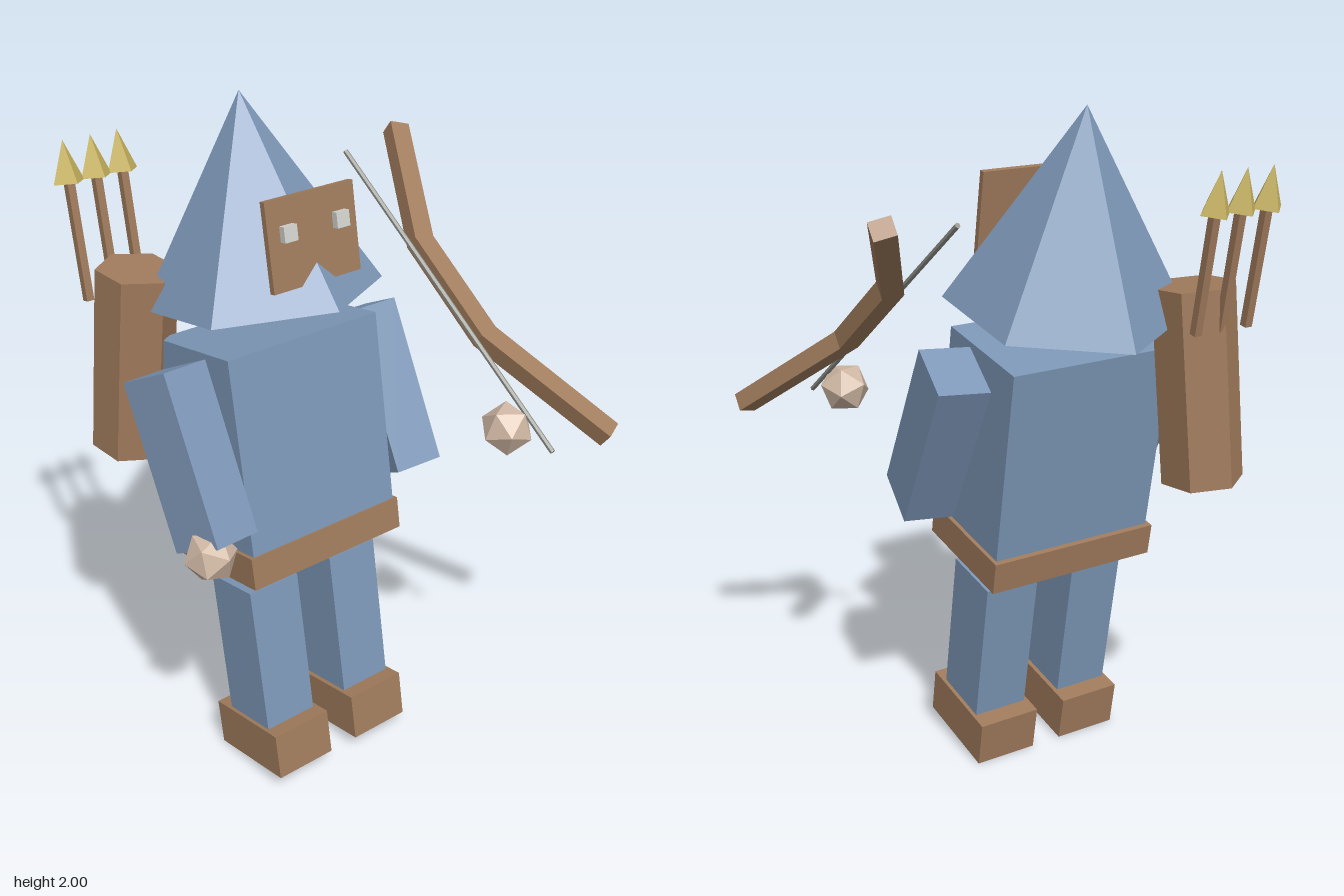
import * as THREE from 'three';

const mat = (name, color, flat = true) => {
  const m = new THREE.MeshStandardMaterial({ color });
  m.name = name;
  m.flatShading = flat;
  return m;
};

export function createModel() {
  const cloth = mat('blueCloth', 0x7d97b7);
  const leather = mat('brownLeather', 0xa07b5c);
  const skin = mat('paleSkin', 0xd0b8a4);
  const brass = mat('brassYellow', 0xc9b45f);
  const white = mat('eyeWhite', 0xd2d2ce);
  const cord = mat('greyCord', 0x92928c);

  const root = new THREE.Group();
  root.name = 'archer';

  // The whole figure leans back slightly
  const figure = new THREE.Group();
  figure.name = 'figure';
  figure.rotation.x = -0.157;
  root.add(figure);

  const add = (parent, name, geometry, material, x, y, z) => {
    const mesh = new THREE.Mesh(geometry, material);
    mesh.name = name;
    mesh.position.set(x, y, z);
    parent.add(mesh);
    return mesh;
  };
  const box = (w, h, d) => new THREE.BoxGeometry(w, h, d);
  const cx = -0.124; // middle of the body

  // Torso, belt and pointed hood
  add(figure, 'torso', box(0.518, 0.59, 0.344), cloth, cx, 1.058, 0.072);
  add(figure, 'belt', box(0.542, 0.097, 0.367), leather, cx, 0.723, 0.067);
  add(figure, 'hood', new THREE.ConeGeometry(0.342, 0.563, 6), cloth, cx, 1.731, 0.071);

  // Face plate with square eyes
  add(figure, 'face', box(0.294, 0.245, 0.018), leather, cx - 0.001, 1.6435, 0.328);

  for (const [side, label] of [[-1, 'right'], [1, 'left']]) {
    add(figure, label + 'Eye', box(0.043, 0.043, 0.02), white, cx + side * 0.0875, 1.674, 0.347);
    add(figure, label + 'Leg', box(0.172, 0.46, 0.192), cloth, cx + side * 0.148, 0.387, 0.065);
    add(figure, label + 'Boot', box(0.197, 0.144, 0.3), leather, cx + side * 0.147, 0.087, 0.062);
    const arm = add(figure, label + 'Arm', box(0.15, 0.496, 0.184), cloth, cx + side * 0.347, 1.077, 0.132);
    arm.rotation.set(-0.303, side * -0.155, 0);
  }

  // Faceted fists
  const fist = new THREE.IcosahedronGeometry(0.077, 0);
  add(root, 'rightHand', fist, skin, -0.522, 0.86, 0.115).rotation.set(0.3, 0.3, 0.2);
  add(root, 'leftHand', fist, skin, 0.29, 1.108, 0.42).rotation.set(-0.3, 0.4, 0.2);

  // Quiver and arrows on the back
  const quiver = add(figure, 'quiver', new THREE.CylinderGeometry(0.118, 0.118, 0.565, 6),
    leather, -0.41, 1.282, -0.202);
  quiver.rotation.set(0.244, 0.1, -0.05);
  for (const x of [-0.495, -0.408, -0.323]) {
    add(figure, 'arrowShaft', box(0.023, 0.34, 0.023), leather, x, 1.64, -0.26);
    add(figure, 'arrowHead', new THREE.ConeGeometry(0.048, 0.116, 4), brass, x, 1.866, -0.26);
  }

  // Bow, drawn flat and then tipped forward
  const bow = new THREE.Group();
  bow.name = 'bow';
  bow.position.set(0, 1.43, 0.1);
  bow.rotation.x = -0.906;
  root.add(bow);
  // Each row: centre x, centre y, half-width offset x, y
  const spine = [
    [0.512, 0.535, 0.028, -0.012],
    [0.345, 0.15, 0.031, -0.006],
    [0.357, -0.19, 0.031, 0.006],
    [0.556, -0.6, 0.027, 0.013],
  ];
  const outline = [
    ...spine.map(([x, y, dx, dy]) => new THREE.Vector2(x - dx, y - dy)),
    ...[...spine].reverse().map(([x, y, dx, dy]) => new THREE.Vector2(x + dx, y + dy)),
  ];
  const limbs = new THREE.ExtrudeGeometry(new THREE.Shape(outline), { depth: 0.054, bevelEnabled: false });
  limbs.translate(0, 0, -0.027);
  add(bow, 'bowLimbs', limbs, leather, 0, 0, 0);
  const string = add(bow, 'bowString', new THREE.CylinderGeometry(0.008, 0.008, 1.08, 6), cord, 0.3135, -0.04, 0);
  string.rotation.z = 0.043;

  return root;
}
